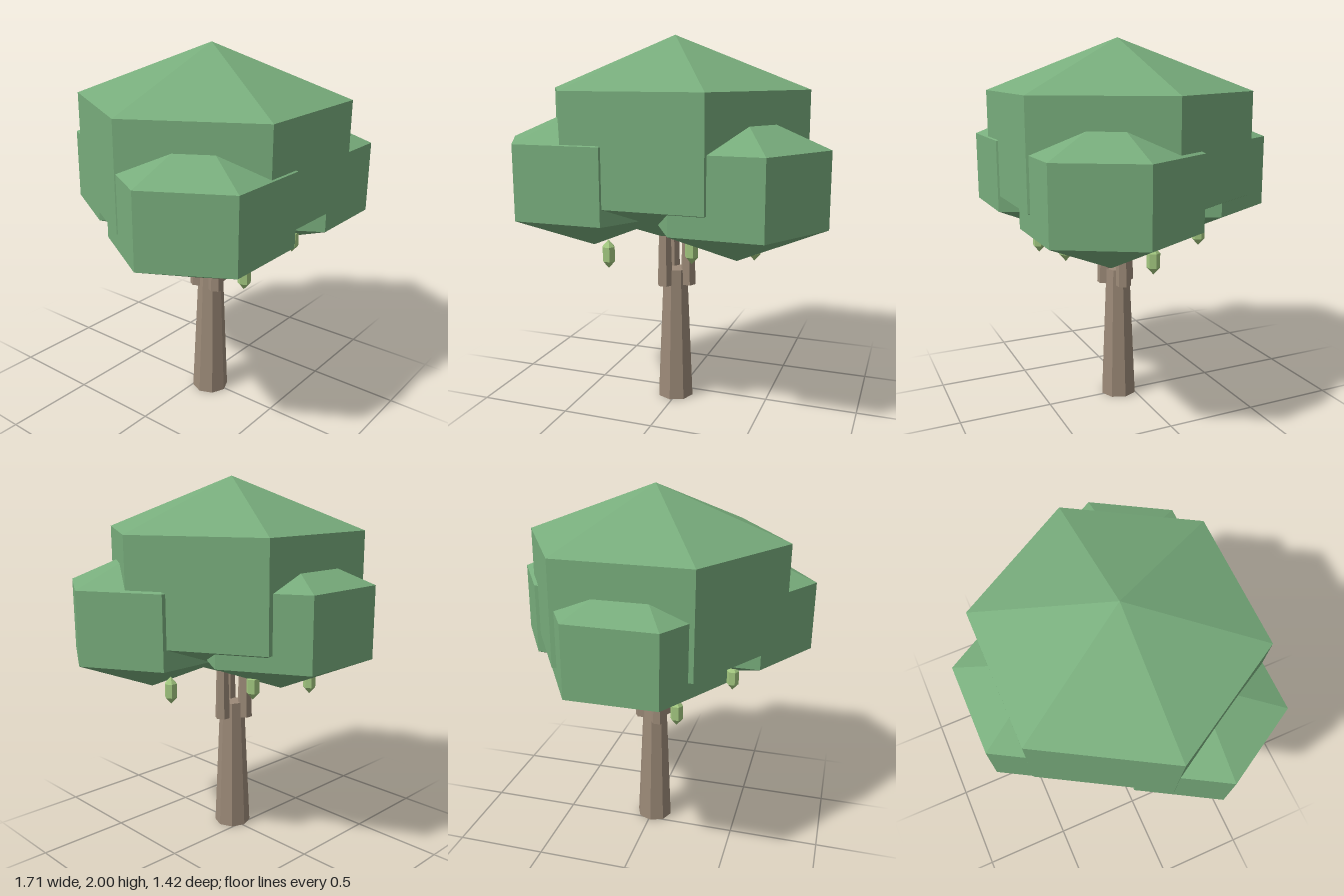
import * as THREE from 'three';

function material(name, color) {
  const m = new THREE.MeshStandardMaterial({ color, flatShading: true });
  m.name = name;
  return m;
}

export function createModel() {
  const tree = new THREE.Group();
  tree.name = 'tree';
  const leaf = material('leaf green', 0x78ad7c);
  const bark = material('bark brown', 0x9c8a78);
  const pod = material('fruit green', 0xa3c880);
  const cx = -0.012, cz = 0.077; // trunk axis

  function add(name, geometry, mat, x, y, z) {
    const mesh = new THREE.Mesh(geometry, mat);
    mesh.name = name;
    mesh.position.set(x, y, z);
    tree.add(mesh);
    return mesh;
  }

  // Six-sided prism with pointed ends: a three-ring sphere, stretched so the
  // prism has radius r and the two points are h above and below its centre
  function gem(r, h) {
    const s = r / Math.sin(Math.PI / 3);
    return new THREE.SphereGeometry(1, 6, 3).scale(s, h, s);
  }

  // Trunk
  add('trunk', new THREE.CylinderGeometry(0.069, 0.102, 0.745, 8), bark, cx, 0.3725, cz);

  // Three branches around the trunk top
  for (let i = 0; i < 3; i++) {
    const a = (i * Math.PI * 2) / 3;
    const branch = add('branch', new THREE.CylinderGeometry(0.03, 0.043, 0.44, 6), bark,
      cx + 0.075 * Math.cos(a), 0.88, cz + 0.075 * Math.sin(a));
    branch.rotation.y = Math.PI / 6;
  }

  // Canopy: one large crown and three lower clumps
  add('crown', gem(0.717, 0.55), leaf, cx, 1.45, 0.075);
  add('rightClump', gem(0.461, 0.38), leaf, -0.395, 1.28, 0.306);
  add('leftClump', gem(0.456, 0.385), leaf, 0.394, 1.258, 0.29);
  add('backClump', gem(0.475, 0.38), leaf, cx, 1.28, -0.3);

  // Ring of hanging fruit, alternately low and high
  for (let i = 0; i < 6; i++) {
    const a = (i * Math.PI) / 3;
    add('fruit', gem(0.034, 0.075), pod,
      cx + 0.447 * Math.cos(a), i % 2 ? 0.96 : 0.9, cz + 0.447 * Math.sin(a));
  }
  return tree;
}
